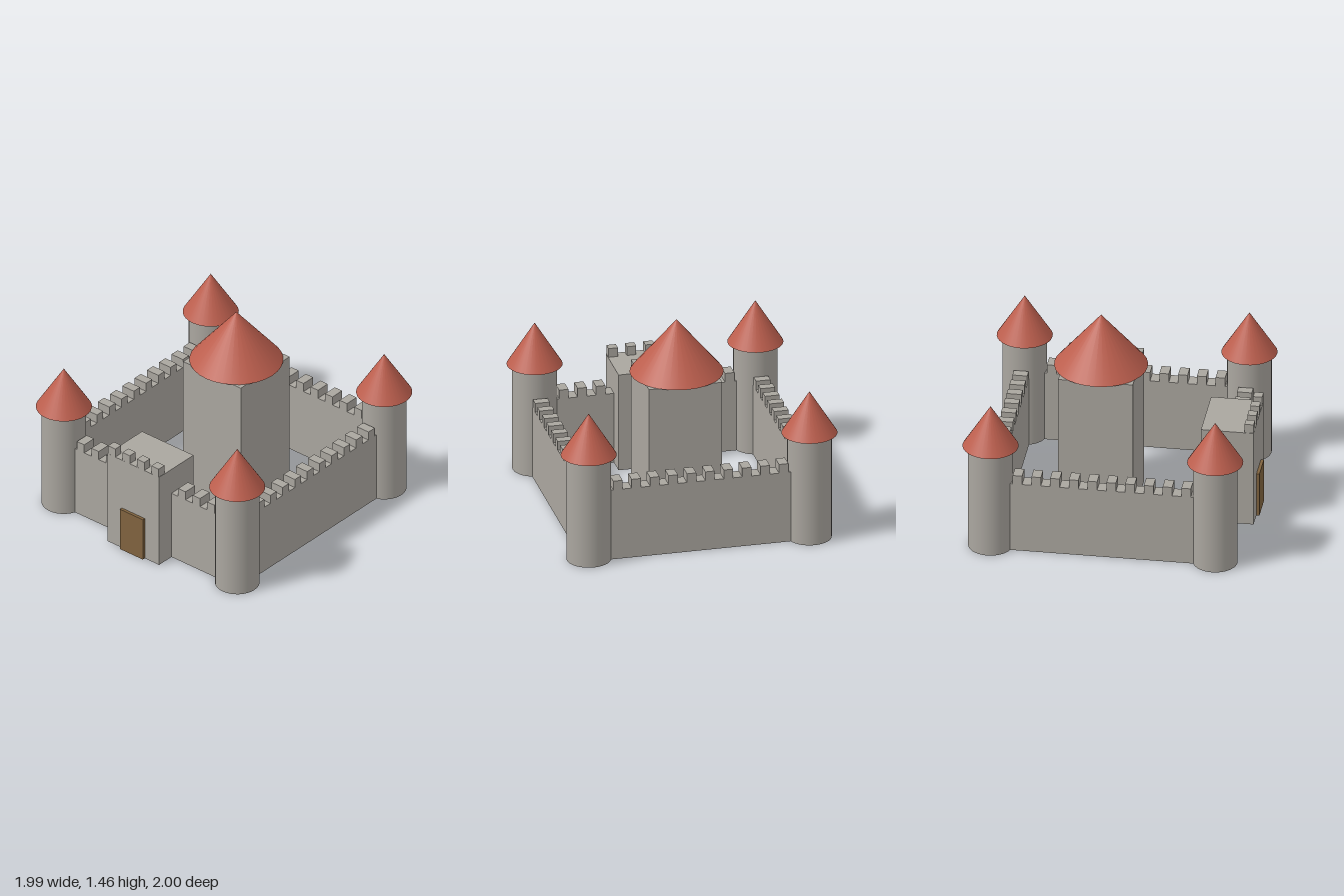
import * as THREE from 'three';

const stone = new THREE.MeshStandardMaterial({ color: 0xaaa69f });
const tile = new THREE.MeshStandardMaterial({ color: 0xbd5f4e });
const wood = new THREE.MeshStandardMaterial({ color: 0x80633f });

const ZC = -0.005;   // centre of the courtyard in z
const HALF = 0.797;  // courtyard centre to tower axis
const PITCH = 0.133; // spacing of the battlements
const MERLON = 0.067;

function add(parent, name, geometry, material, x, y, z) {
  const mesh = new THREE.Mesh(geometry, material);
  mesh.name = name;
  mesh.position.set(x, y, z);
  parent.add(mesh);
  return mesh;
}

// Box standing on height y
function block(parent, name, w, h, d, material, x, y, z) {
  return add(parent, name, new THREE.BoxGeometry(w, h, d), material, x, y + h / 2, z);
}

// Row of battlements along x
function battlements(parent, count, depth, y, z) {
  for (let i = 0; i < count; i++) {
    block(parent, 'merlon', MERLON, MERLON, depth, stone, (i - (count - 1) / 2) * PITCH, y, z);
  }
}

function roof(parent, radius, height, y) {
  add(parent, 'roof', new THREE.ConeGeometry(radius, height, 32), tile, 0, y + height / 2, 0);
}

function cornerTower() {
  const tower = new THREE.Group();
  tower.name = 'cornerTower';
  add(tower, 'towerShaft', new THREE.CylinderGeometry(0.157, 0.157, 0.8, 32), stone, 0, 0.4, 0);
  roof(tower, 0.197, 0.315, 0.8);
  return tower;
}

function curtainWall() {
  const wall = new THREE.Group();
  wall.name = 'curtainWall';
  block(wall, 'wallBody', HALF * 2, 0.533, 0.105, stone, 0, 0, HALF);
  battlements(wall, 10, 0.105, 0.533, HALF);
  return wall;
}

export function createModel() {
  const castle = new THREE.Group();
  castle.name = 'castle';

  // Four walls around the courtyard, a tower at each corner
  const enclosure = new THREE.Group();
  enclosure.name = 'enclosure';
  enclosure.position.z = ZC;
  castle.add(enclosure);
  for (let i = 0; i < 4; i++) {
    const wall = curtainWall();
    wall.rotation.y = (i * Math.PI) / 2;
    enclosure.add(wall);
  }
  for (const sx of [-1, 1]) {
    for (const sz of [-1, 1]) {
      const tower = cornerTower();
      tower.position.set(sx * HALF, 0, sz * HALF);
      enclosure.add(tower);
    }
  }

  // Square keep under a round roof
  const keep = new THREE.Group();
  keep.name = 'keep';
  keep.position.z = -0.139;
  castle.add(keep);
  block(keep, 'keepBody', 0.53, 1.067, 0.53, stone, 0, 0, 0);
  roof(keep, 0.33, 0.397, 1.067);

  // Gatehouse with battlements along its front edge, and a door
  const gatehouse = new THREE.Group();
  gatehouse.name = 'gatehouse';
  castle.add(gatehouse);
  block(gatehouse, 'gatehouseBody', 0.473, 0.733, 0.373, stone, 0, 0, 0.792);
  battlements(gatehouse, 4, 0.064, 0.733, 0.946);
  block(gatehouse, 'door', 0.21, 0.333, 0.04, wood, 0, 0, 0.98);

  return castle;
}
